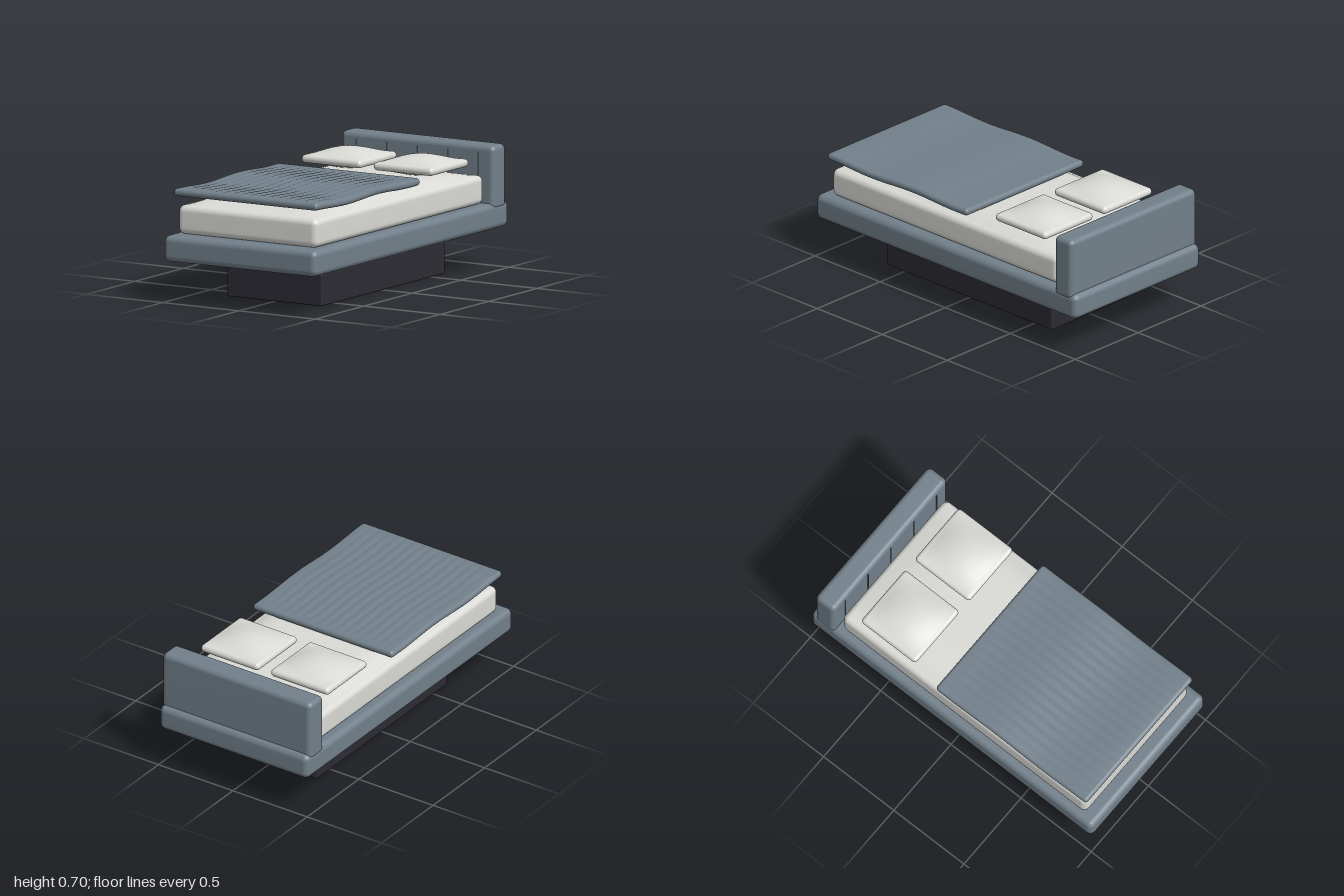
import * as THREE from 'three';
import { mergeVertices } from 'three/addons/utils/BufferGeometryUtils.js';

const mat = (name, color) => {
  const m = new THREE.MeshStandardMaterial({ color });
  m.name = name;
  return m;
};

// Grid stops along one axis: fine tangent-spaced steps in the corners, n even steps between
function stops(size, r, n, k = 4) {
  const h = size / 2, inner = h - r, out = [];
  for (let i = k; i > 0; i--) out.push(-inner - r * Math.tan((Math.PI / 4) * i / k));
  for (let i = 0; i <= n; i++) out.push(-inner + 2 * inner * i / n);
  for (let i = 1; i <= k; i++) out.push(inner + r * Math.tan((Math.PI / 4) * i / k));
  return out;
}

// Rounded box with a subdivided surface; lift(x, y, z, u, v) returns a height offset
function softBox(w, h, d, r, n = [1, 1, 1], lift = null) {
  const sizes = [w, h, d];
  const axes = sizes.map((s, i) => stops(s, r, n[i]));
  const geo = new THREE.BoxGeometry(1, 1, 1, ...axes.map(a => a.length - 1));
  geo.deleteAttribute('normal');
  geo.deleteAttribute('uv');
  const pos = geo.attributes.position, p = new THREE.Vector3(), q = new THREE.Vector3();
  const inner = new THREE.Vector3(w / 2 - r, h / 2 - r, d / 2 - r);
  const low = inner.clone().negate();
  for (let i = 0; i < pos.count; i++) {
    p.fromBufferAttribute(pos, i);
    p.fromArray(p.toArray().map((c, a) => axes[a][Math.round((c + 0.5) * (axes[a].length - 1))]));
    q.copy(p).clamp(low, inner);
    p.sub(q).normalize().multiplyScalar(r).add(q);
    if (lift) {
      const u = Math.min(1, Math.abs(p.x) / inner.x), v = Math.min(1, Math.abs(p.z) / inner.z);
      p.y += lift(p.x, p.y, p.z, u, v);
    }
    pos.setXYZ(i, p.x, p.y, p.z);
  }
  const merged = mergeVertices(geo, 1e-5);
  merged.computeVertexNormals();
  return merged;
}

export function createModel() {
  const bed = new THREE.Group();
  bed.name = 'bed';
  const slate = mat('slate upholstery', 0x72808a);
  const linen = mat('white linen', 0xdadad6);
  const plinth = mat('dark plinth', 0x2c2b33);

  const add = (name, geo, material, x, y, z) => {
    const m = new THREE.Mesh(geo, material);
    m.name = name;
    m.position.set(x, y, z);
    bed.add(m);
    return m;
  };

  // Recessed plinth, platform and headboard
  add('plinth', softBox(0.62, 0.18, 1.27, 0.008), plinth, 0, 0.09, 0);
  add('platform', softBox(1, 0.147, 2, 0.035), slate, 0, 0.3035, 0);
  add('headboard', softBox(1, 0.36, 0.135, 0.03), slate, 0, 0.52, -0.9025);

  // Upright seams on the headboard front
  for (let i = -2; i <= 2; i++) {
    add('headboardSeam', new THREE.BoxGeometry(0.005, 0.27, 0.006), slate, i * 0.2, 0.525, -0.834);
  }

  // Mattress with a crowned top
  const crown = (x, y, z, u, v) => (y > 0 ? 0.04 * (y / 0.08) * (1 - u ** 7) * (1 - v ** 6) : 0);
  add('mattress', softBox(0.91, 0.162, 1.735, 0.035, [24, 4, 32], crown), linen, 0, 0.459, 0.0525);

  // Pillows, domed above and below
  const puff = (x, y, z, u, v) => (y / 0.0225) * (y > 0 ? 0.037 : 0.032) * (1 - u * u) * (1 - v * v);
  const pillow = softBox(0.39, 0.045, 0.39, 0.022, [16, 2, 16], puff);
  for (const side of [-1, 1]) add('pillow', pillow, linen, side * 0.235, 0.623, -0.505);

  // Ribbed blanket with a gentle wave along its length
  const ribs = (x, y, z, u, v) =>
    0.006 * Math.cos((z - 0.53) * Math.PI * 2 / 0.65) +
    (y > 0.01 ? 0.005 * Math.abs(Math.sin(Math.PI * x / 0.0575)) * (1 - u ** 8) * (1 - v ** 12) : 0);
  add('blanket', softBox(0.94, 0.042, 1.075, 0.02, [96, 1, 36], ribs), slate, 0, 0.607, 0.4025);

  return bed;
}
